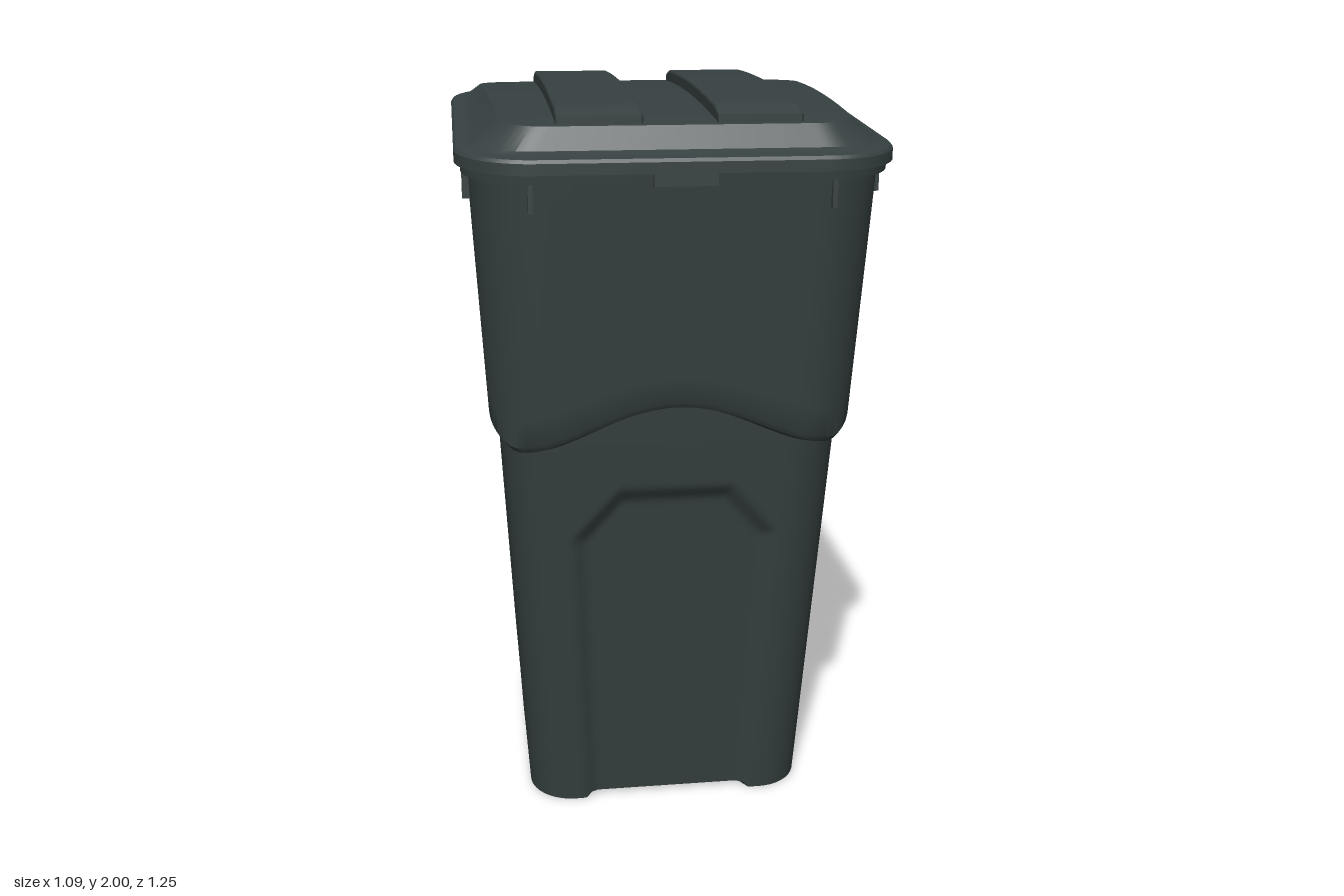
import * as THREE from 'three';
import { toCreasedNormals } from 'three/addons/utils/BufferGeometryUtils.js';

const plastic = new THREE.MeshStandardMaterial({ color: 0x364040 });
const steel = new THREE.MeshStandardMaterial({ color: 0x8a8f90 });
const { clamp, lerp, smoothstep } = THREE.MathUtils;

// Columns around a rounded rectangle: corner k, arc angle a, fraction t along the straight after it
const columns = [];
for (let k = 0; k < 4; k++) {
  for (let j = 0; j <= 10; j++) columns.push({ k, a: (k + j / 10) * Math.PI / 2, t: 0 });
  for (let j = 1; j < 48; j++) columns.push({ k, a: (k + 1) * Math.PI / 2, t: j / 48 });
}

function roundedRect({ k, a, t }, hx, zBack, zFront, r) {
  const hz = (zFront - zBack) / 2, zc = (zFront + zBack) / 2;
  const corner = n => {
    n %= 4;
    return [(n === 0 || n === 3 ? 1 : -1) * (hx - r) + r * Math.cos(a),
      zc + (n < 2 ? 1 : -1) * (hz - r) + r * Math.sin(a)];
  };
  const p = corner(k), q = corner(k + 1);
  return [lerp(p[0], q[0], t), lerp(p[1], q[1], t)];
}

// Skin a closed loop of columns; point(column, row) gives [x, y, z]
function loft(rows, point, crease) {
  const n = columns.length, pos = [], idx = [];
  for (let j = 0; j < rows; j++) for (const c of columns) pos.push(...point(c, j));
  for (let j = 0; j < rows - 1; j++) for (let i = 0; i < n; i++) {
    const a = j * n + i, b = j * n + (i + 1) % n;
    idx.push(a, a + n, b, b, a + n, b + n);
  }
  const g = new THREE.BufferGeometry();
  g.setAttribute('position', new THREE.Float32BufferAttribute(pos, 3));
  g.setIndex(idx);
  return toCreasedNormals(g, crease);
}

// Plate drawn in the (z, y) plane, with thickness along x
function sidePlate(points, width, bevel) {
  const shape = new THREE.Shape(points.map(p => new THREE.Vector2(...p)));
  const g = new THREE.ExtrudeGeometry(shape, { depth: width - 2 * bevel, bevelEnabled: bevel > 0,
    bevelSize: bevel, bevelThickness: bevel, bevelOffset: -bevel, bevelSegments: 2 });
  return g.translate(0, 0, bevel - width / 2).rotateY(-Math.PI / 2);
}

function add(parent, name, geometry, x = 0, y = 0, z = 0, material = plastic) {
  const mesh = new THREE.Mesh(geometry, material);
  mesh.name = name;
  mesh.position.set(x, y, z);
  parent.add(mesh);
  return mesh;
}

// Tapered wall section at height y, pushed out by off
function wall(c, y, off = 0) {
  return roundedRect(c, 0.388 + 0.0545 * y + off, -0.435 + 0.015 * y - off,
    0.335 + 0.134 * Math.min(y, 1.1) + 0.108 * Math.max(0, y - 1.1) + off, 0.12 + 0.03 * y);
}

// Depth of the chamfered recessed panel on front and back
function panelDepth(x, y) {
  const ax = Math.abs(x);
  const d = Math.min(0.245 + 0.042 * y - ax, 0.985 - y,
    ((0.28 - ax) * 0.145 + (0.84 - y) * 0.125) / 0.191);
  return 0.022 * smoothstep(d, 0, 0.05);
}

const WHEEL = { x: 0.335, y: 0.115, z: -0.335 }, WELL_X = 0.27, WELL_R = 0.145;
const floorY = (x, z) => 0.004 + 0.07 * (0.336 - z) + (Math.abs(x) < 0.235 ? 0.012 : 0);
const rimY = z => 1.82 + 0.08 * (0.62 - z);
const inWell = (x, z) => Math.abs(x) > WELL_X && z < WHEEL.z + WELL_R;

// Lower edge of the wall: the floor line, arching over the wheels
function bottomY(c) {
  const [x, z] = wall(c, 0.15);
  if (!inWell(x, z)) return floorY(x, z);
  return WHEEL.y + Math.sqrt(Math.max(0, WELL_R ** 2 - (z - WHEEL.z) ** 2));
}

// Step line: a wave on the front, rising along the sides to the back
function stepY(c) {
  const [x, z] = wall(c, 1.1);
  const wave = z > 0.2 && Math.abs(x) < 0.42 ? 0.06 * (1 + Math.cos(Math.PI * x / 0.42)) : 0;
  return 1.09 + Math.max(0, 0.611 * (0.445 - z)) + wave;
}

function lowerPoint(c, y) {
  const [x, z] = wall(c, y);
  return [x, y, z - Math.sign(z) * panelDepth(x, y)];
}

const LOWER = 90, UPPER = 10;
function bodyPoint(c, j) {
  const s = stepY(c);
  if (j <= LOWER) return lowerPoint(c, lerp(bottomY(c), s, j / LOWER));
  const top = rimY(wall(c, 1.85, 0.027)[1]);
  const k = j - LOWER - 1;
  let y, off = 0.027;
  if (k === 0) { y = s + 0.003; off = 0.019; }
  else if (k <= UPPER) y = lerp(s + 0.018, top - 0.025, (k - 1) / (UPPER - 1));
  else { y = top + [-0.025, 0.02][k - UPPER - 1]; off = 0.045; }
  const [x, z] = wall(c, y, off);
  return [x, y, z];
}

// Floor and wheel wells: centre, floor outline, top of the well's inner wall, wall edge
function floorPoint(c, j) {
  const edge = lowerPoint(c, bottomY(c)), [x0, z0] = wall(c, 0.15);
  if (j === 0) return [0, floorY(0, 0), 0];
  if (j === 3 || !inWell(x0, z0)) return edge;
  const x = Math.sign(x0) * WELL_X;
  return [x, j === 1 ? floorY(x, edge[2]) : edge[1], edge[2]];
}

// Lid: turned-under skirt, ledge, sloped shoulder and crowned top
const lidTop = z => 1.968 - 0.075 * (z + 0.2) ** 2;
const LID = [[0.03, 0], [0, 0], [0, 0.028], [0.006, 0.036], [0.03, 0.04], [0.048, 0.048]];
const CROWN = [1, 0.97, 0.8, 0.6, 0.4, 0.2, 0];
function lidPoint(c, j) {
  const [off, h] = LID[j] || [0.078, 0];
  let [x, z] = roundedRect(c, 0.547 - off, -0.47 + off, 0.622 - off, 0.19 - off);
  if (j < LID.length) return [x, rimY(z) + h, z];
  const s = CROWN[j - LID.length];
  x *= s * (1 - 0.08 * clamp((z + 0.47) / 1.09, 0, 1));
  z = lerp(0.076, z, s);
  return [x, lidTop(z), z];
}

function makeWheel() {
  const wheel = new THREE.Group(), teeth = 30, shape = new THREE.Shape();
  // Treaded tyre
  for (let i = 0; i < teeth; i++) [[0, 0.103], [0.2, 0.111], [0.65, 0.111], [0.85, 0.103]].forEach(([f, r], n) => {
    const a = (i + f) / teeth * Math.PI * 2;
    shape[i + n ? 'lineTo' : 'moveTo'](r * Math.cos(a), r * Math.sin(a));
  });
  shape.holes.push(new THREE.Path().absarc(0, 0, 0.08, 0, Math.PI * 2, true));
  add(wheel, 'tyre', new THREE.ExtrudeGeometry(shape, { depth: 0.09, bevelEnabled: false, curveSegments: 32 })
    .translate(0, 0, -0.045).rotateY(Math.PI / 2));
  // Spokes, hub and axle bolt
  for (let i = 0; i < 10; i++) {
    add(wheel, 'spoke', new THREE.BoxGeometry(0.06, 0.066, 0.016).translate(0, 0.052, 0)).rotation.x = (i + 0.5) * Math.PI / 5;
  }
  add(wheel, 'hub', new THREE.CylinderGeometry(0.028, 0.028, 0.08, 24).rotateZ(Math.PI / 2));
  add(wheel, 'axleBolt', new THREE.CylinderGeometry(0.013, 0.013, 0.09, 12).rotateZ(Math.PI / 2), 0, 0, 0, steel);
  return wheel;
}

export function createModel() {
  const bin = new THREE.Group();
  bin.name = 'wheeledBin';
  add(bin, 'body', loft(LOWER + UPPER + 4, bodyPoint, 0.6));
  add(bin, 'floor', loft(4, floorPoint, 0.4));

  // Lid with two raised ribs and a front tab
  const lid = new THREE.Group();
  lid.name = 'lid';
  bin.add(lid);
  add(lid, 'lidShell', loft(LID.length + CROWN.length, lidPoint, 0.5));
  const rib = [[0.525, 1.9], [-0.4, 1.93]];
  for (let i = 0; i <= 16; i++) {
    const z = lerp(-0.4, 0.525, i / 16);
    rib.push([z, lidTop(z) + (i === 0 || i === 16 ? 0.02 : 0.032)]);
  }
  add(lid, 'frontTab', new THREE.BoxGeometry(0.155, 0.045, 0.024), 0, 1.812, 0.608);

  // Handle: bar, centre gusset, and arms with gussets on both sides
  const handle = new THREE.Group();
  handle.name = 'handle';
  bin.add(handle);
  add(handle, 'handleBar', new THREE.CylinderGeometry(0.028, 0.028, 0.46, 24).rotateZ(Math.PI / 2), 0, 1.925, -0.587);
  const arm = [[-0.37, 1.985], [-0.6, 1.962], [-0.63, 1.95], [-0.63, 1.9], [-0.61, 1.885],
    [-0.56, 1.905], [-0.45, 1.92], [-0.4, 1.935]];
  const gusset = [[-0.42, 1.92], [-0.56, 1.92], [-0.6, 1.89], [-0.505, 1.7], [-0.49, 1.69], [-0.42, 1.69]];
  for (const x of [-0.243, 0, 0.243]) add(handle, 'gusset', sidePlate(gusset, 0.014, 0), x);

  for (const s of [-1, 1]) {
    add(lid, 'lidRib', sidePlate(rib, 0.212, 0.006), s * 0.197);
    add(handle, 'handleArm', sidePlate(arm, 0.055, 0.008), s * 0.243);

    // Small stiffening fins under the rim
    const fin = (x, z, w, d) => add(bin, 'rimFin', new THREE.BoxGeometry(w, 0.085, d), x, rimY(z) - 0.055, z);
    fin(s * 0.37, 0.575, 0.012, 0.035);
    fin(s * 0.37, -0.425, 0.012, 0.035);
    fin(s * 0.512, 0.4, 0.035, 0.012);
    fin(s * 0.512, -0.28, 0.035, 0.012);

    const wheel = makeWheel();
    wheel.name = s > 0 ? 'leftWheel' : 'rightWheel';
    wheel.position.set(s * WHEEL.x, WHEEL.y, WHEEL.z);
    bin.add(wheel);
  }
  add(bin, 'axle', new THREE.CylinderGeometry(0.014, 0.014, 0.64, 16).rotateZ(Math.PI / 2), 0, WHEEL.y, WHEEL.z, steel);
  return bin;
}
